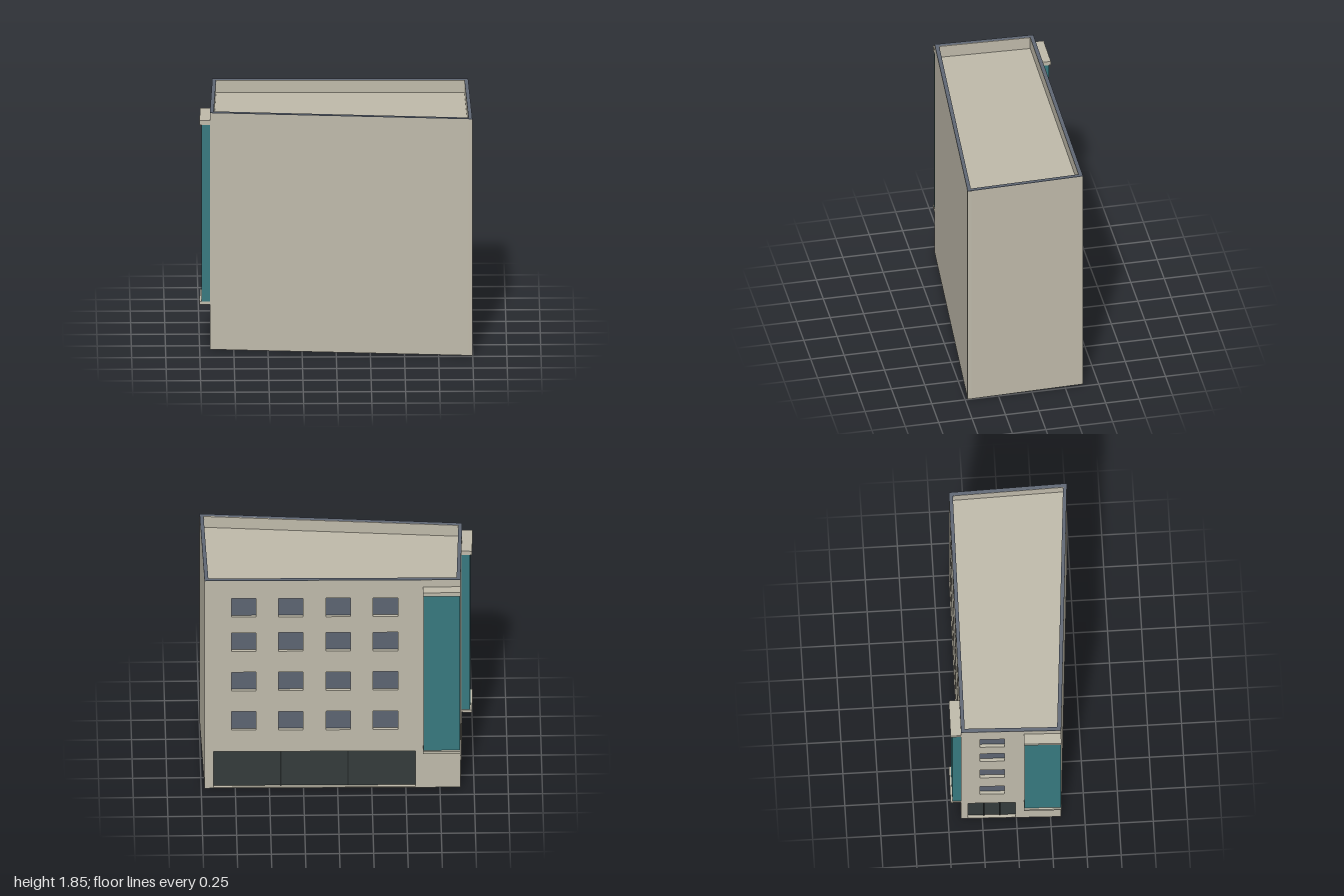
import * as THREE from 'three';

const HEIGHT = 1.845, ROOF = 1.745, THICK = 0.028, CAP = 0.004;

const flat = (name, color, side = THREE.FrontSide) =>
  Object.assign(new THREE.MeshStandardMaterial({ color, side }), { name });
const wallMat = flat('stone render', 0xbfbaaa, THREE.DoubleSide);
const capMat = flat('slate coping', 0x5f6774);
const glassMat = flat('window glass', 0x5c6472);
const bayMat = flat('teal cladding', 0x37797f);
const shopMat = flat('dark shop glass', 0x343b3b);
const frameMat = flat('shop frame', 0x202525);

// Footprint corners [x, z], in order around the plan
const backRight = [0.975, -0.388], backLeft = [-0.9, -0.405];
const frontLeft = [-0.925, 0.328], frontRight = [0.997, 0.48];
const plan = [backRight, backLeft, frontLeft, frontRight];

// Plan moved inwards by d on every side
const inset = d => plan.map(([x, z]) => [x - Math.sign(x) * d, z - Math.sign(z) * d]);

function add(parent, name, geometry, material, x = 0, y = 0, z = 0) {
  const mesh = new THREE.Mesh(geometry, material);
  mesh.name = name;
  mesh.position.set(x, y, z);
  parent.add(mesh);
  return mesh;
}

// Box spanning u0..u1, v0..v1, w0..w1 in a wall's own frame
function block(parent, name, material, u0, u1, v0, v1, w0, w1) {
  add(parent, name, new THREE.BoxGeometry(u1 - u0, v1 - v0, w1 - w0), material,
    (u0 + u1) / 2, (v0 + v1) / 2, (w0 + w1) / 2);
}

// Horizontal plate from a plan outline, its upper face at y = top
function plate(parent, name, outline, hole, top, depth, material) {
  const points = list => list.map(([x, z]) => new THREE.Vector2(x, z));
  const shape = new THREE.Shape(points(outline));
  if (hole) shape.holes.push(new THREE.Path(points(hole)));
  const geometry = new THREE.ExtrudeGeometry(shape, { depth, bevelEnabled: false });
  add(parent, name, geometry.rotateX(Math.PI / 2), material, 0, top, 0);
}

// Wall from a to b: local x runs along it, local z points outwards
function wall(parent, name, a, b, openings = []) {
  const dx = b[0] - a[0], dz = b[1] - a[1], length = Math.hypot(dx, dz);
  const group = new THREE.Group();
  group.name = name;
  group.position.set(a[0], 0, a[1]);
  group.rotation.y = Math.atan2(-dz, dx);
  parent.add(group);

  const rect = (Type, u0, u1, v0, v1) => new Type([[u0, v0], [u1, v0], [u1, v1], [u0, v1]]
    .map(([u, v]) => new THREE.Vector2(u, v)));
  const shape = rect(THREE.Shape, 0, length, 0, HEIGHT - CAP);
  for (const o of openings) shape.holes.push(rect(THREE.Path, o.u0, o.u1, o.v0, o.v1));
  const geometry = new THREE.ExtrudeGeometry(shape, { depth: THICK, bevelEnabled: false });
  add(group, name + 'Surface', geometry, wallMat, 0, 0, -THICK);

  // Recessed glazing and its upright bars
  for (const o of openings) {
    block(group, o.name, o.material, o.u0, o.u1, o.v0, o.v1, -THICK, -THICK + 0.004);
    for (let i = 1; i < (o.panels || 1); i++) {
      const u = o.u0 + (o.u1 - o.u0) * i / o.panels;
      block(group, o.name + 'Bar', frameMat, u - 0.004, u + 0.004, o.v0, o.v1, -THICK, -THICK + 0.008);
    }
  }
  return group;
}

// One window per storey in each column
const windows = centres => centres.flatMap(u => [0.515, 0.865, 1.215, 1.52].map(v => ({
  name: 'window', material: glassMat, u0: u - 0.09, u1: u + 0.09, v0: v, v1: v + 0.165,
})));

// Projecting clad bay between two slabs
function bay(group, u0, u1) {
  block(group, 'bayCladding', bayMat, u0 + 0.004, u1 - 0.004, 0.37, 1.75, 0, 0.063);
  block(group, 'bayBottomSlab', wallMat, u0, u1, 0.35, 0.372, 0, 0.077);
  block(group, 'bayTopSlab', wallMat, u0, u1, 1.75, 1.782, 0, 0.077);
}

export function createModel() {
  const building = new THREE.Group();
  building.name = 'building';

  // Blank party walls
  wall(building, 'frontWall', frontLeft, frontRight);
  wall(building, 'rightWall', frontRight, backRight);

  // Street wall with shopfront
  const back = wall(building, 'backWall', backRight, backLeft, [
    ...windows([0.287, 0.633, 0.98, 1.326]),
    { name: 'shopfront', material: shopMat, u0: 0.065, u1: 1.545, v0: 0.008, v1: 0.325, panels: 3 },
  ]);
  bay(back, 1.6, 1.875);

  // Side wall with entrance
  const left = wall(building, 'leftWall', backLeft, frontLeft, [
    ...windows([0.228]),
    { name: 'entrance', material: shopMat, u0: 0.05, u1: 0.4, v0: 0.008, v1: 0.325, panels: 3 },
  ]);
  bay(left, 0.46, 0.733);

  // Sunken roof and parapet coping
  plate(building, 'roof', inset(0.01), null, ROOF, 0.02, wallMat);
  plate(building, 'parapetCoping', plan, inset(THICK), HEIGHT, CAP, capMat);

  return building;
}
